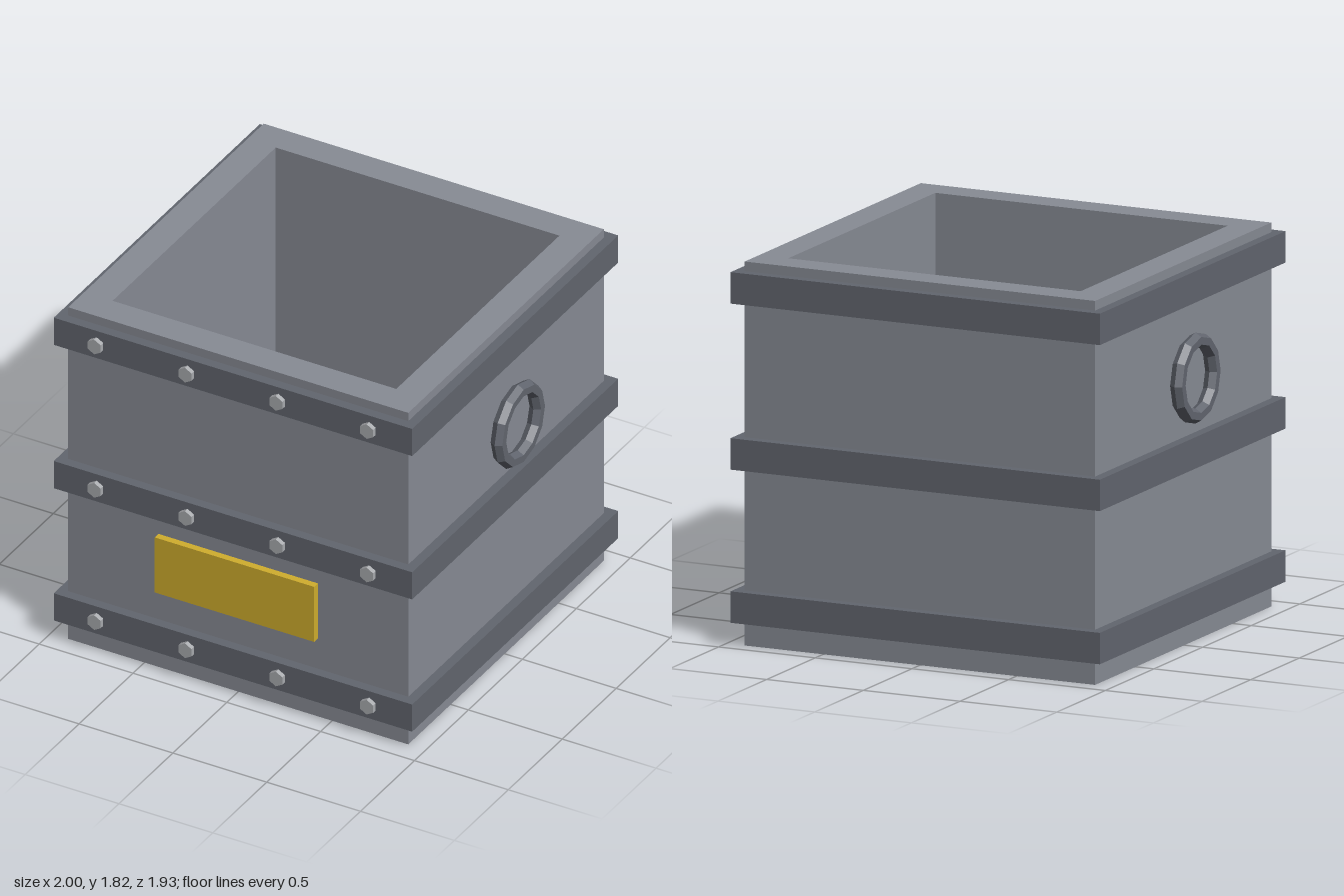
import * as THREE from 'three';

const steel = new THREE.MeshStandardMaterial({ color: 0x888c95, flatShading: true });
const darkSteel = new THREE.MeshStandardMaterial({ color: 0x62666f, flatShading: true });
const boltMetal = new THREE.MeshStandardMaterial({ color: 0xaaacb0, flatShading: true });
const brass = new THREE.MeshStandardMaterial({ color: 0xd0ae2d });

const HALF = 0.906;       // half width of the body
const WALL = 0.15;
const HEIGHT = 1.82;
const BAND_HALF = 0.955;  // half width of the bands
const BAND_H = 0.149;

// Square part from a [half width, height] profile: a four-sided lathe
function squareLathe(profile) {
  const points = profile.map(([half, y]) => new THREE.Vector2(half * Math.SQRT2, y));
  const geometry = new THREE.LatheGeometry(points, 4, Math.PI / 4).toNonIndexed();
  geometry.computeVertexNormals();
  return geometry;
}

function add(parent, name, geometry, material, x = 0, y = 0, z = 0) {
  const mesh = new THREE.Mesh(geometry, material);
  mesh.name = name;
  mesh.position.set(x, y, z);
  parent.add(mesh);
  return mesh;
}

export function createModel() {
  const model = new THREE.Group();
  model.name = 'crate';
  const crate = new THREE.Group();
  crate.name = 'crateParts';
  crate.position.z = -0.012; // the bolts stick out at the front only
  model.add(crate);

  // Open box with thick walls and a floor
  const inner = HALF - WALL;
  add(crate, 'body', squareLathe([
    [0, 0], [HALF, 0], [HALF, HEIGHT], [inner, HEIGHT], [inner, WALL], [0, WALL],
  ]), steel);

  // Bands around the body, each with four hexagonal bolts on the front
  const h = BAND_H / 2;
  const core = HALF - 0.02;
  const bandGeometry = squareLathe([
    [core, -h], [BAND_HALF, -h], [BAND_HALF, h], [core, h],
  ]);
  const boltGeometry = new THREE.CylinderGeometry(0.04, 0.04, 0.048, 6).rotateX(Math.PI / 2);
  for (const y of [0.187, 0.913, 1.7]) {
    add(crate, 'band', bandGeometry, darkSteel, 0, y, 0);
    for (const x of [-0.726, -0.242, 0.242, 0.726]) {
      add(crate, 'bolt', boltGeometry, boltMetal, x, y, BAND_HALF);
    }
  }

  // Plate on the front
  add(crate, 'frontPlate', new THREE.BoxGeometry(0.85, 0.302, 0.06), brass, 0, 0.579, HALF + 0.005);

  // Ring handles on both sides
  const ringGeometry = new THREE.TorusGeometry(0.18, 0.036, 6, 12).rotateY(Math.PI / 2);
  for (const side of [-1, 1]) {
    add(crate, side > 0 ? 'leftRing' : 'rightRing', ringGeometry, darkSteel, side * 0.969, 1.275, 0);
  }

  return model;
}
